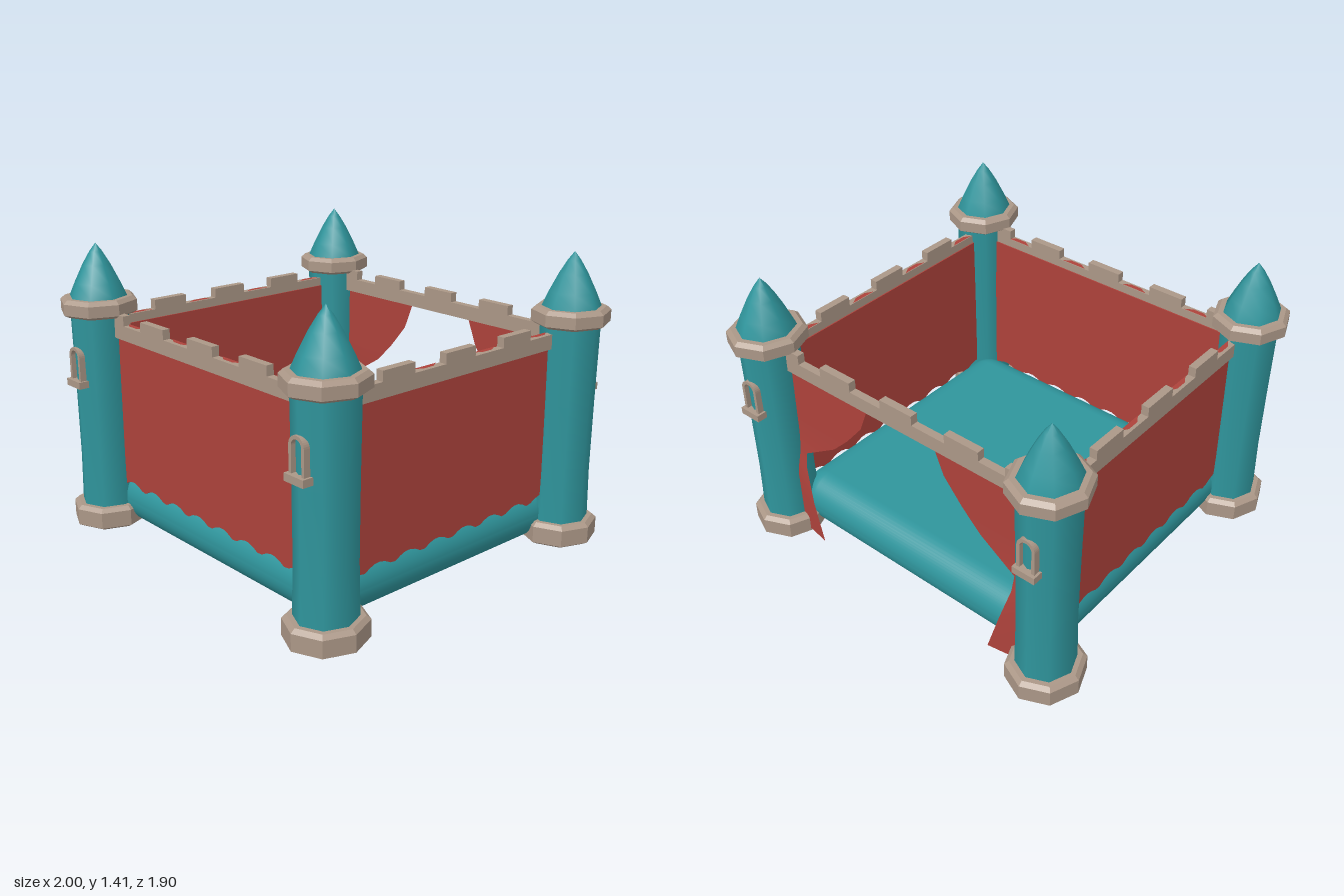
import * as THREE from 'three';
import { RoundedBoxGeometry } from 'three/addons/geometries/RoundedBoxGeometry.js';

const mat = (name, color, extra = {}) => {
  const m = new THREE.MeshStandardMaterial({ color, ...extra });
  m.name = name;
  return m;
};

export function createModel() {
  const teal = mat('teal', 0x2f959c);
  const red = mat('red', 0xad423b, { side: THREE.DoubleSide });
  const tan = mat('tan', 0xab9787);
  const tanFacet = mat('tan', 0xab9787, { flatShading: true });
  const model = new THREE.Group();
  model.name = 'inflatableCastle';

  const add = (parent, name, geo, material, x = 0, y = 0, z = 0) => {
    const mesh = new THREE.Mesh(geo, material);
    mesh.name = name;
    mesh.position.set(x, y, z);
    parent.add(mesh);
    return mesh;
  };
  const box = (w, h, d) => new THREE.BoxGeometry(w, h, d);
  const lathe = (pts) => new THREE.LatheGeometry(pts.map(([r, y]) => new THREE.Vector2(r, y)), 8);

  // Bouncy floor cushion
  add(model, 'floor', new RoundedBoxGeometry(1.61, 0.27, 1.49, 6, 0.13), teal, 0, 0.137, 0);

  // Eight-sided corner tower parts
  const bodyGeo = lathe([[0.137, 0.08], [0.131, 0.35], [0.133, 0.7], [0.138, 1.1]]);
  const roofGeo = lathe([[0.137, 1.13], [0.134, 1.16], [0.106, 1.225], [0.065, 1.31], [0.03, 1.37], [0, 1.41]]);
  const ring = (y0, y1) => lathe([[0, y0], [0.155, y0], [0.18, y0 + 0.015], [0.18, y1 - 0.018], [0.16, y1], [0.12, y1]]);
  const baseGeo = ring(0, 0.113), collarGeo = ring(1.07, 1.157);

  // Arched window frame with an opening
  const arch = (path, w, y0, y1) => {
    path.moveTo(-w, y0);
    path.lineTo(w, y0);
    path.lineTo(w, y1);
    path.absarc(0, y1, w, 0, Math.PI, false);
    path.lineTo(-w, y0);
    return path;
  };
  const frameShape = arch(new THREE.Shape(), 0.046, 0.75, 0.878);
  frameShape.holes.push(arch(new THREE.Path(), 0.03, 0.755, 0.878));
  const frameGeo = new THREE.ExtrudeGeometry(frameShape, { depth: 0.04, bevelEnabled: false, curveSegments: 8 });

  for (const sx of [-1, 1]) for (const sz of [-1, 1]) {
    const tower = new THREE.Group();
    tower.name = 'tower';
    tower.position.set(sx * 0.82, 0, sz * 0.76);
    const shell = new THREE.Group();
    shell.name = 'towerShell';
    shell.scale.z = 1.05;
    tower.add(shell);
    add(shell, 'towerBody', bodyGeo, teal);
    add(shell, 'towerRoof', roofGeo, teal);
    add(shell, 'towerBase', baseGeo, tanFacet);
    add(shell, 'towerCollar', collarGeo, tanFacet);
    const windowGroup = new THREE.Group();
    windowGroup.name = 'towerWindow';
    windowGroup.rotation.y = sz > 0 ? 0 : Math.PI;
    add(windowGroup, 'windowFrame', frameGeo, tan, 0, 0, 0.112);
    add(windowGroup, 'windowSill', box(0.114, 0.034, 0.06), tan, 0, 0.745, 0.138);
    tower.add(windowGroup);
    model.add(tower);
  }

  // Red wall sheet with a scalloped lower edge
  const wallGeo = (half) => {
    const s = new THREE.Shape();
    s.moveTo(half, 1.0);
    s.lineTo(-half, 1.0);
    const n = Math.round(half * 2 / 0.03);
    for (let i = 0; i <= n; i++) {
      const x = -half + (2 * half * i) / n;
      s.lineTo(x, 0.203 + 0.036 * Math.abs(Math.sin(Math.PI * x / 0.18)));
    }
    return new THREE.ExtrudeGeometry(s, { depth: 0.02, bevelEnabled: false });
  };

  // Red cloth tips showing on the rail between battlements
  const tipShape = new THREE.Shape();
  tipShape.moveTo(-0.07, 0);
  tipShape.lineTo(0.07, 0);
  tipShape.lineTo(0.03, -0.024);
  tipShape.lineTo(-0.03, -0.024);
  const tipGeo = new THREE.ShapeGeometry(tipShape).rotateX(-Math.PI / 2);

  // One side: battlement rail, and the wall under it when closed
  const side = (name, angle, distance, half, closed, endMerlons) => {
    const g = new THREE.Group();
    g.name = name;
    g.rotation.y = angle;
    add(g, 'rail', box(half * 2, 0.07, 0.038), tan, 0, 1.008, distance);
    for (const x of [-0.37, 0, 0.37]) add(g, 'battlement', box(0.185, 0.05, 0.038), tan, x, 1.065, distance);
    if (endMerlons) for (const x of [-0.66, 0.66]) add(g, 'battlement', box(0.11, 0.05, 0.038), tan, x, 1.065, distance);
    if (closed) {
      add(g, 'wall', wallGeo(half), red, 0, 0, distance - 0.025);
      for (const x of [-0.55, -0.185, 0.185, 0.55]) add(g, 'clothTip', tipGeo, red, x, 1.046, distance - 0.019);
    }
    model.add(g);
  };
  side('frontWall', 0, 0.744, 0.74, true, true);
  side('leftWall', Math.PI / 2, 0.808, 0.68, true, false);
  side('rightWall', -Math.PI / 2, 0.808, 0.68, true, false);
  side('backRail', Math.PI, 0.757, 0.74, false, true);

  // Drawn-back entrance curtains: rows of [y, inner x, z]
  const rows = [[0.99, 0.19, -0.757], [0.84, 0.25, -0.757], [0.72, 0.35, -0.757], [0.62, 0.45, -0.757],
    [0.5, 0.645, -0.765], [0.42, 0.64, -0.78], [0.24, 0.59, -0.805], [0.03, 0.53, -0.815]];
  for (const s of [-1, 1]) {
    const pos = [], index = [];
    rows.forEach(([y, x, z], i) => {
      pos.push(s * x, y, z, s * 0.75, y, Math.max(z, -0.78));
      if (i) {
        const a = 2 * i - 2;
        index.push(...(s > 0 ? [a, a + 1, a + 2, a + 1, a + 3, a + 2] : [a, a + 2, a + 1, a + 1, a + 2, a + 3]));
      }
    });
    const geo = new THREE.BufferGeometry();
    geo.setAttribute('position', new THREE.Float32BufferAttribute(pos, 3));
    geo.setIndex(index);
    geo.computeVertexNormals();
    add(model, s > 0 ? 'leftCurtain' : 'rightCurtain', geo, red);
  }
  return model;
}
